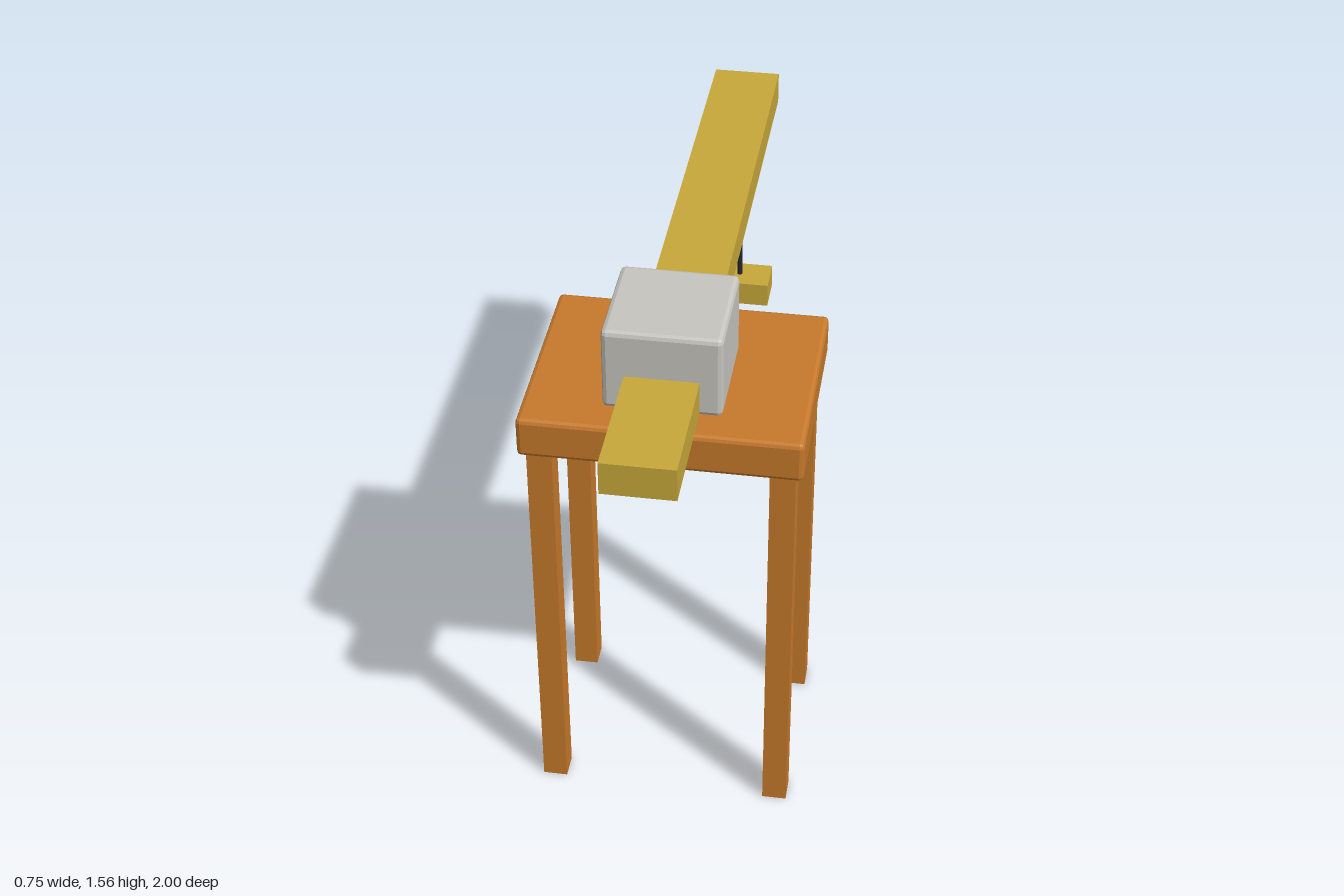
import * as THREE from 'three';
import { RoundedBoxGeometry } from 'three/addons/geometries/RoundedBoxGeometry.js';

export function createModel() {
  const model = new THREE.Group();
  model.name = 'counterweightStand';

  const material = (name, color) => {
    const m = new THREE.MeshStandardMaterial({ color });
    m.name = name;
    return m;
  };
  const orangeWood = material('orange wood', 0xc87a2c);
  const yellowWood = material('yellow wood', 0xc8a93a);
  const stone = material('grey stone', 0xc8c6c0);
  const rope = material('dark rope', 0x23272f);

  const add = (name, geometry, mat, x, y, z) => {
    const mesh = new THREE.Mesh(geometry, mat);
    mesh.name = name;
    mesh.position.set(x, y, z);
    model.add(mesh);
  };
  // Box with narrow, flat-shaded softened edges
  const softBox = (w, h, d, r) => {
    const g = new RoundedBoxGeometry(w, h, d, 1, r);
    g.computeVertexNormals();
    return g;
  };

  // Stool: seat and four square legs
  add('seat', softBox(0.752, 0.116, 0.596, 0.012), orangeWood, 0, 1.243, 0.4);
  const legGeometry = new THREE.BoxGeometry(0.068, 1.186, 0.07);
  for (const [side, x] of [['Left', 0.321], ['Right', -0.321]]) {
    for (const [end, z] of [['front', 0.643], ['back', 0.162]]) {
      add(`${end}${side}Leg`, legGeometry, orangeWood, x, 0.593, z);
    }
  }

  // Long beam, held down by a block
  add('beam', new THREE.BoxGeometry(0.196, 0.095, 2), yellowWood, 0, 1.381, 0);
  add('block', softBox(0.314, 0.236, 0.314, 0.013), stone, 0, 1.442, 0.481);

  // Small weight hanging from the far end of the beam
  add('rope', new THREE.CylinderGeometry(0.008, 0.008, 0.576, 8), rope, 0, 1.046, -0.88);
  add('hangingWeight', new THREE.BoxGeometry(0.196, 0.077, 0.118), yellowWood, 0, 0.721, -0.88);

  return model;
}
